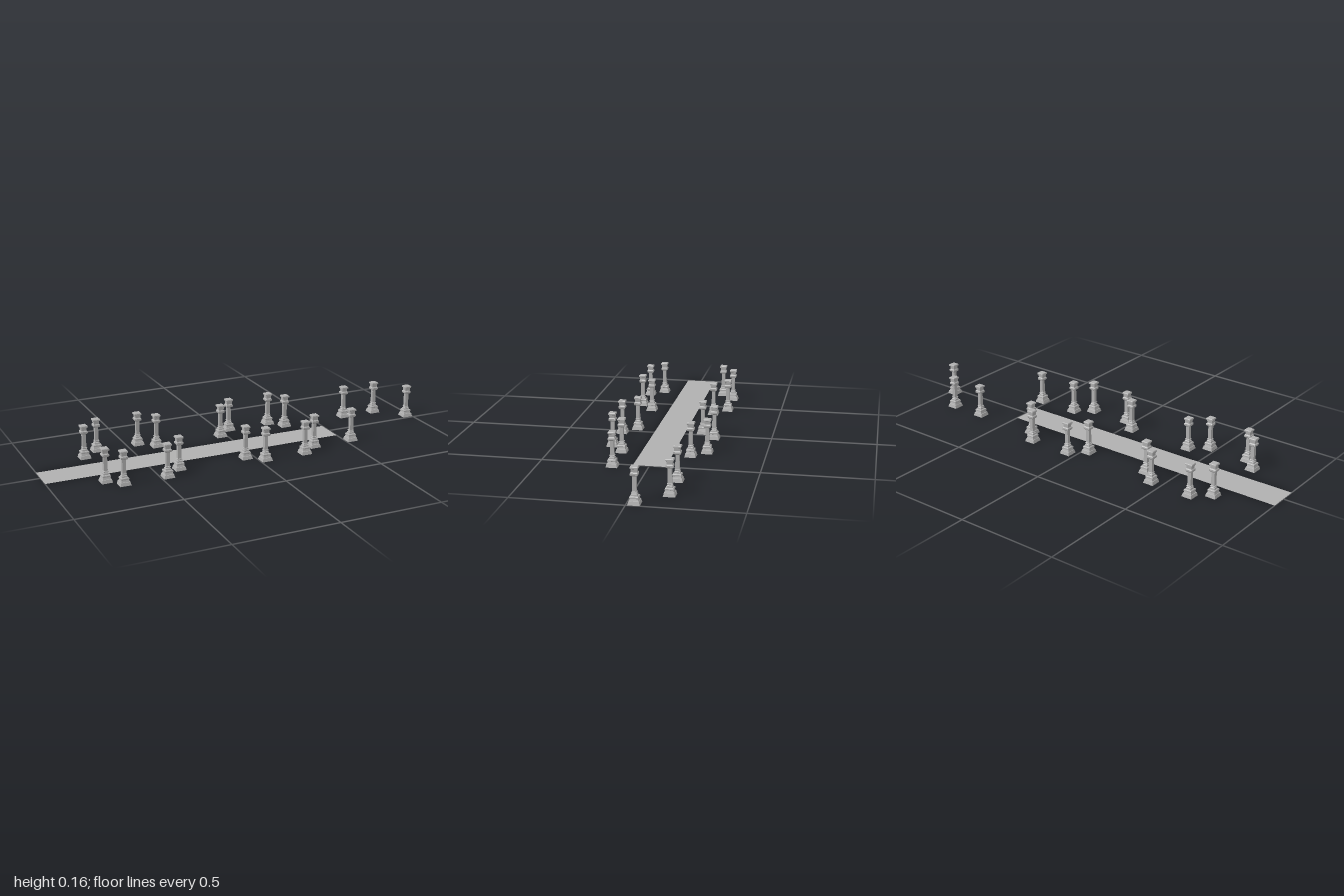
import * as THREE from 'three';

// Square pillar outline: [half width, height]
const PROFILE = [
  [0, 0], [0.0265, 0], [0.0225, 0.016], [0.0205, 0.017], [0.0175, 0.026],
  [0.0195, 0.027], [0.0195, 0.033], [0.0175, 0.036], [0.0135, 0.037], [0.0125, 0.044],
  [0.009, 0.047], [0.009, 0.049], [0.0118, 0.05], [0.0118, 0.053], [0.009, 0.055],
  [0.0085, 0.121], [0.0135, 0.123], [0.0165, 0.127], [0.0165, 0.135], [0.0135, 0.138],
  [0.0125, 0.14], [0.0135, 0.153], [0.0175, 0.155], [0.0175, 0.161], [0.0155, 0.164], [0, 0.164],
];

// Pillar positions: [x, z]
const PILLARS = [
  // far row
  [-0.737, -0.163], [-0.654, -0.227], [-0.444, -0.227], [-0.37, -0.163],
  [-0.03, -0.16], [0.045, -0.227], [0.264, -0.227], [0.327, -0.16],
  // near row
  [-0.743, 0.162], [-0.678, 0.227], [-0.467, 0.227], [-0.384, 0.162],
  [-0.045, 0.165], [0.03, 0.227], [0.24, 0.227], [0.322, 0.165],
  // ring of single pillars past the end of the walkway
  [0.53, 0.162], [0.67, -0.159], [0.85, -0.159], [0.973, -0.034],
];

export function createModel() {
  const model = new THREE.Group();
  model.name = 'pillaredWalkway';

  const stone = new THREE.MeshStandardMaterial({ color: 0xb0b0b0, flatShading: true, side: THREE.DoubleSide });
  stone.name = 'grey stone';

  // Flat walkway strip
  const walkway = new THREE.Mesh(new THREE.PlaneGeometry(1.5, 0.15).rotateX(-Math.PI / 2), stone);
  walkway.name = 'walkway';
  walkway.position.x = -0.25;
  model.add(walkway);

  // Four-sided turned pillar, shared by all copies
  const points = PROFILE.map(([w, y]) => new THREE.Vector2(w * Math.SQRT2, y));
  const pillarGeometry = new THREE.LatheGeometry(points, 4).rotateY(Math.PI / 4).toNonIndexed();
  pillarGeometry.computeVertexNormals();

  PILLARS.forEach(([x, z], i) => {
    const pillar = new THREE.Mesh(pillarGeometry, stone);
    pillar.name = `pillar${i + 1}`;
    pillar.position.set(x, 0, z);
    model.add(pillar);
  });

  return model;
}
